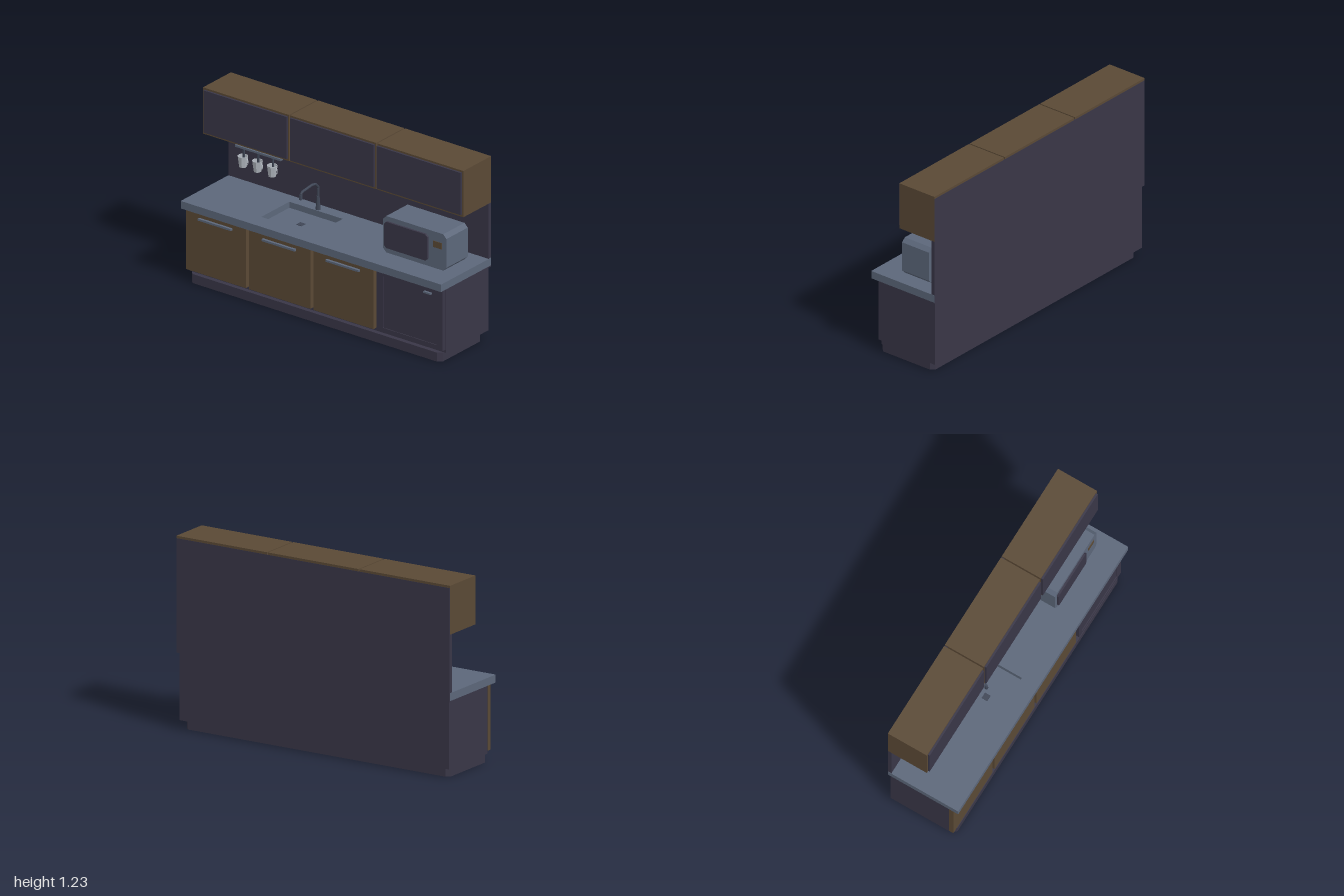
import * as THREE from 'three';

const mat = (name, color, opts = {}) => {
  const m = new THREE.MeshStandardMaterial({ color, ...opts });
  m.name = name;
  return m;
};

export function createModel() {
  const wood = mat('wood', 0x5a4935);
  const dark = mat('dark panel', 0x393647);
  const slate = mat('slate', 0x5c677a);
  const steel = mat('dark steel', 0x3f4656, { flatShading: true });
  const china = mat('china', 0xb0b6be, { flatShading: true, side: THREE.DoubleSide });

  const kitchen = new THREE.Group();
  kitchen.name = 'kitchen';

  const add = (name, geometry, material, parent = kitchen) => {
    const mesh = new THREE.Mesh(geometry, material);
    mesh.name = name;
    parent.add(mesh);
    return mesh;
  };
  // Box given by its limits on each axis
  const box = (name, material, x0, x1, y0, y1, z0, z1, parent) => {
    const g = new THREE.BoxGeometry(x1 - x0, y1 - y0, z1 - z0);
    g.translate((x0 + x1) / 2, (y0 + y1) / 2, (z0 + z1) / 2);
    return add(name, g, material, parent);
  };
  // Rectangle with cut corners
  const cutRect = (x0, x1, y0, y1, c) => new THREE.Shape([
    [x0 + c, y0], [x1 - c, y0], [x1, y0 + c], [x1, y1 - c],
    [x1 - c, y1], [x0 + c, y1], [x0, y1 - c], [x0, y0 + c],
  ].map(([x, y]) => new THREE.Vector2(x, y)));
  const extrude = (shape, depth) =>
    new THREE.ExtrudeGeometry(shape, { depth, bevelEnabled: false });

  // Plinth and base carcass
  add('plinth', extrude(cutRect(-0.965, 0.965, -0.21, 0.21, 0.025), 0.06).rotateX(-Math.PI / 2), dark);
  box('baseCabinet', dark, -0.985, 0.985, 0.06, 0.496, -0.24, 0.18);

  // Base doors with bar handles
  [[-0.99, -0.53], [-0.505, -0.035], [-0.01, 0.45]].forEach(([x0, x1], i) => {
    const door = new THREE.Group();
    door.name = 'baseDoor' + (i + 1);
    kitchen.add(door);
    box('doorPanel', wood, x0, x1, 0.08, 0.492, 0.18, 0.21, door);
    const c = (x0 + x1) / 2;
    box('doorHandle', slate, c - 0.127, c + 0.127, 0.438, 0.451, 0.21, 0.227, door);
  });

  // Dishwasher: frame around a slightly recessed panel
  const frame = cutRect(0.49, 0.98, 0.08, 0.492, 0.001);
  frame.holes.push(cutRect(0.525, 0.935, 0.11, 0.455, 0.001));
  add('dishwasherFrame', extrude(frame, 0.03).translate(0, 0, 0.18), dark);
  box('dishwasherPanel', dark, 0.525, 0.935, 0.11, 0.455, 0.18, 0.205);
  box('dishwasherHandle', slate, 0.84, 0.895, 0.436, 0.447, 0.205, 0.22);

  // Countertop with a sink cut-out
  const top = cutRect(-1, 1, -0.25, 0.2495, 0.001);
  top.holes.push(cutRect(-0.47, -0.06, -0.135, 0.145, 0.001));
  add('countertop', extrude(top, 0.05).rotateX(-Math.PI / 2).translate(0, 0.496, 0), slate);
  box('sinkFloor', slate, -0.47, -0.06, 0.497, 0.506, -0.145, 0.135);
  box('sinkDrain', steel, -0.285, -0.245, 0.506, 0.509, -0.015, 0.025);

  // Tap
  const tap = new THREE.Group();
  tap.name = 'tap';
  tap.position.set(-0.265, 0.546, -0.165);
  kitchen.add(tap);
  add('tapBase', new THREE.CylinderGeometry(0.009, 0.016, 0.09, 8).translate(0, 0.045, 0), steel, tap);
  const spoutPath = new THREE.CurvePath();
  const points = [[0.08, 0], [0.15, 0], [0.178, 0.025], [0.184, 0.06], [0.172, 0.165], [0.14, 0.172]]
    .map(([y, z]) => new THREE.Vector3(0, y, z));
  for (let i = 1; i < points.length; i++) spoutPath.add(new THREE.LineCurve3(points[i - 1], points[i]));
  add('tapSpout', new THREE.TubeGeometry(spoutPath, 24, 0.008, 8), steel, tap);
  add('tapNozzle', new THREE.CylinderGeometry(0.01, 0.012, 0.03, 8).translate(0, 0.142, 0.172), steel, tap);

  // Wall panel
  box('backsplash', dark, -0.998, 0.998, 0.487, 1.21, -0.25, -0.225);

  // Wall cabinets with doors and light strips
  [[-1, -0.339, -0.988, -0.348], [-0.33, 0.33, -0.323, 0.32], [0.339, 1, 0.343, 0.988]]
    .forEach(([x0, x1, d0, d1], i) => {
      const unit = new THREE.Group();
      unit.name = 'wallCabinet' + (i + 1);
      kitchen.add(unit);
      box('cabinetBody', wood, x0, x1, 0.916, 1.225, -0.249, 0.028, unit);
      box('cabinetDoor', dark, d0, d1, 0.931, 1.213, 0.02, 0.041, unit);
      box('lightStrip', slate, x0 + 0.03, x1 - 0.03, 0.91, 0.917, -0.04, 0, unit);
    });

  // Microwave
  const microwave = new THREE.Group();
  microwave.name = 'microwave';
  kitchen.add(microwave);
  add('microwaveBody', extrude(cutRect(0.423, 0.91, 0.546, 0.789, 0.025), 0.212).translate(0, 0, -0.132), slate, microwave);
  add('microwaveDoor', extrude(cutRect(0.441, 0.772, 0.582, 0.757, 0.015), 0.013).translate(0, 0, 0.08), dark, microwave);
  box('microwaveDisplay', wood, 0.81, 0.875, 0.685, 0.727, 0.08, 0.083, microwave);

  // Rail with hanging cups
  box('cupRail', slate, -0.912, -0.562, 0.78, 0.793, -0.212, -0.174);
  for (const x of [-0.89, -0.584]) box('railBracket', slate, x - 0.01, x + 0.01, 0.781, 0.792, -0.226, -0.211);
  const profile = [[0, 0], [0.024, 0], [0.034, 0.072], [0.03, 0.072], [0.021, 0.006], [0, 0.006]]
    .map(([r, y]) => new THREE.Vector2(r, y));
  for (const x of [-0.85, -0.738, -0.625]) {
    const cup = new THREE.Group();
    cup.name = 'hangingCup';
    cup.position.set(x, 0.664, -0.174);
    kitchen.add(cup);
    add('cupBowl', new THREE.LatheGeometry(profile, 8, Math.PI / 8), china, cup);
    const handle = new THREE.TorusGeometry(0.02, 0.004, 4, 8, Math.PI);
    add('cupHandle', handle.rotateZ(-Math.PI / 2).scale(0.55, 1, 1).translate(0.029, 0.04, 0), china, cup);
    box('cupHook', steel, -0.005, 0.005, 0.05, 0.118, -0.014, -0.004, cup);
  }

  return kitchen;
}
